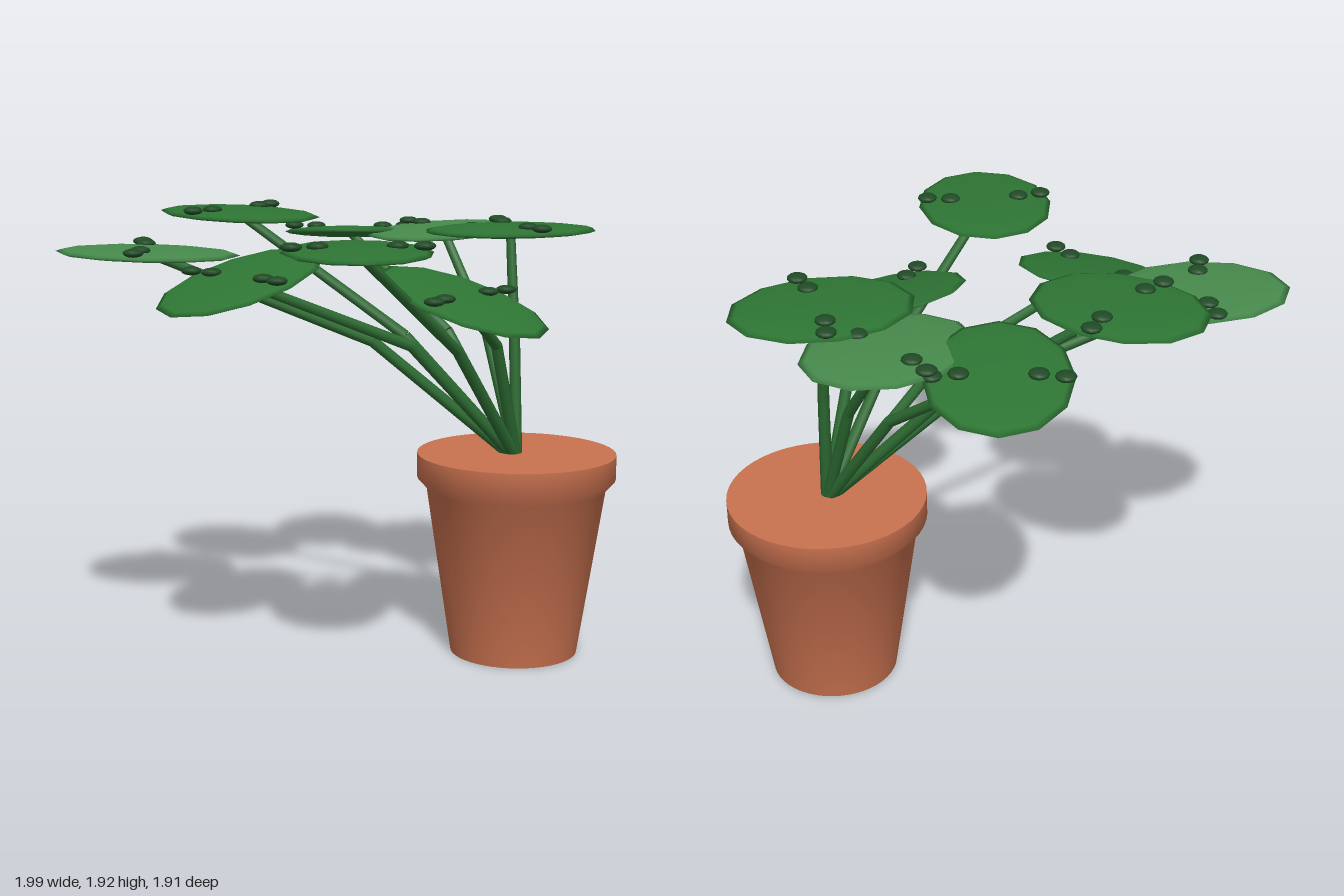
import * as THREE from 'three';
import { toCreasedNormals } from 'three/addons/utils/BufferGeometryUtils.js';

const paint = (color) => new THREE.MeshStandardMaterial({ color });
const clay = paint(0xc8714f);
const leafGreen = paint(0x2e7534);
const paleGreen = paint(0x478a4c);
const stemGreen = paint(0x2c6a31);
const spotGreen = paint(0x204a25);

// Pot axis, and the point all stems grow from
const POT = { x: 0.455, z: 0.515 };
const ROOT = new THREE.Vector3(POT.x, 0.85, POT.z);

// Each leaf: centre, heading in degrees (0 = +x, 90 = +z), outward tilt, material
const LEAVES = [
  { at: [0.61, 1.792, 0.01], heading: 7, tilt: 0.04, material: paleGreen },
  { at: [0.54, 1.82, 0.41], heading: 35, tilt: 0.0, material: leafGreen },
  { at: [-0.07, 1.592, 0.59], heading: 90, tilt: -0.31, material: leafGreen },
  { at: [-0.65, 1.828, 0.51], heading: 136, tilt: -0.01, material: leafGreen },
  { at: [-0.64, 1.675, -0.08], heading: 186, tilt: -0.285, material: leafGreen },
  { at: [-0.61, 1.75, -0.615], heading: 230, tilt: 0.03, material: paleGreen },
  { at: [-0.08, 1.88, -0.58], heading: 270, tilt: 0.025, material: leafGreen },
  { at: [0.49, 1.77, -0.425], heading: -37, tilt: -0.11, material: leafGreen },
];

const leafGeometry = new THREE.SphereGeometry(1, 12, 8).scale(0.38, 0.025, 0.29);
const spotGeometry = new THREE.SphereGeometry(1, 12, 8).scale(0.042, 0.018, 0.042);

function addMesh(parent, name, geometry, material) {
  const mesh = new THREE.Mesh(geometry, material);
  mesh.name = name;
  parent.add(mesh);
  return mesh;
}

// Straight tapered rod between two points
function addRod(parent, name, from, to, r0, r1) {
  const dir = to.clone().sub(from);
  const rod = addMesh(parent, name, new THREE.CylinderGeometry(r1, r0, dir.length(), 8), stemGreen);
  rod.position.copy(from).addScaledVector(dir, 0.5);
  rod.quaternion.setFromUnitVectors(new THREE.Vector3(0, 1, 0), dir.normalize());
}

// Flower pot with a bevelled rim and a flat closed top
function createPot() {
  const profile = [[0, 0], [0.275, 0], [0.385, 0.73], [0.426, 0.775], [0.426, 0.88], [0, 0.88]]
    .map(([r, y]) => new THREE.Vector2(r, y));
  const geometry = toCreasedNormals(new THREE.LatheGeometry(profile, 48), 0.9);
  const pot = new THREE.Mesh(geometry, clay);
  pot.name = 'pot';
  pot.position.set(POT.x, 0, POT.z);
  return pot;
}

// Bent stem: a steep lower part, then a flatter part up to the leaf
function createStem(tip) {
  const stem = new THREE.Group();
  stem.name = 'stem';
  const bend = ROOT.clone().lerp(tip, 0.4);
  bend.y = 1.37;
  addRod(stem, 'lowerStem', ROOT, bend, 0.026, 0.024);
  addRod(stem, 'upperStem', bend, tip, 0.024, 0.02);
  return stem;
}

// Lens-shaped leaf with two pairs of level spots across it
function createLeaf({ at, heading, tilt, material }) {
  const leaf = new THREE.Group();
  leaf.name = 'leaf';
  leaf.position.set(...at);
  leaf.rotation.y = -THREE.MathUtils.degToRad(heading);
  addMesh(leaf, 'leafBlade', leafGeometry, material).rotation.z = tilt;
  for (const side of [-1, 1]) {
    for (const [out, across] of [[0.04, 0.25], [0.02, 0.15]]) {
      addMesh(leaf, 'leafSpot', spotGeometry, spotGreen).position.set(out, 0.026, side * across);
    }
  }
  return leaf;
}

export function createModel() {
  const plant = new THREE.Group();
  plant.name = 'pottedPlant';
  plant.add(createPot());
  for (const leaf of LEAVES) {
    plant.add(createStem(new THREE.Vector3(...leaf.at)), createLeaf(leaf));
  }
  return plant;
}
